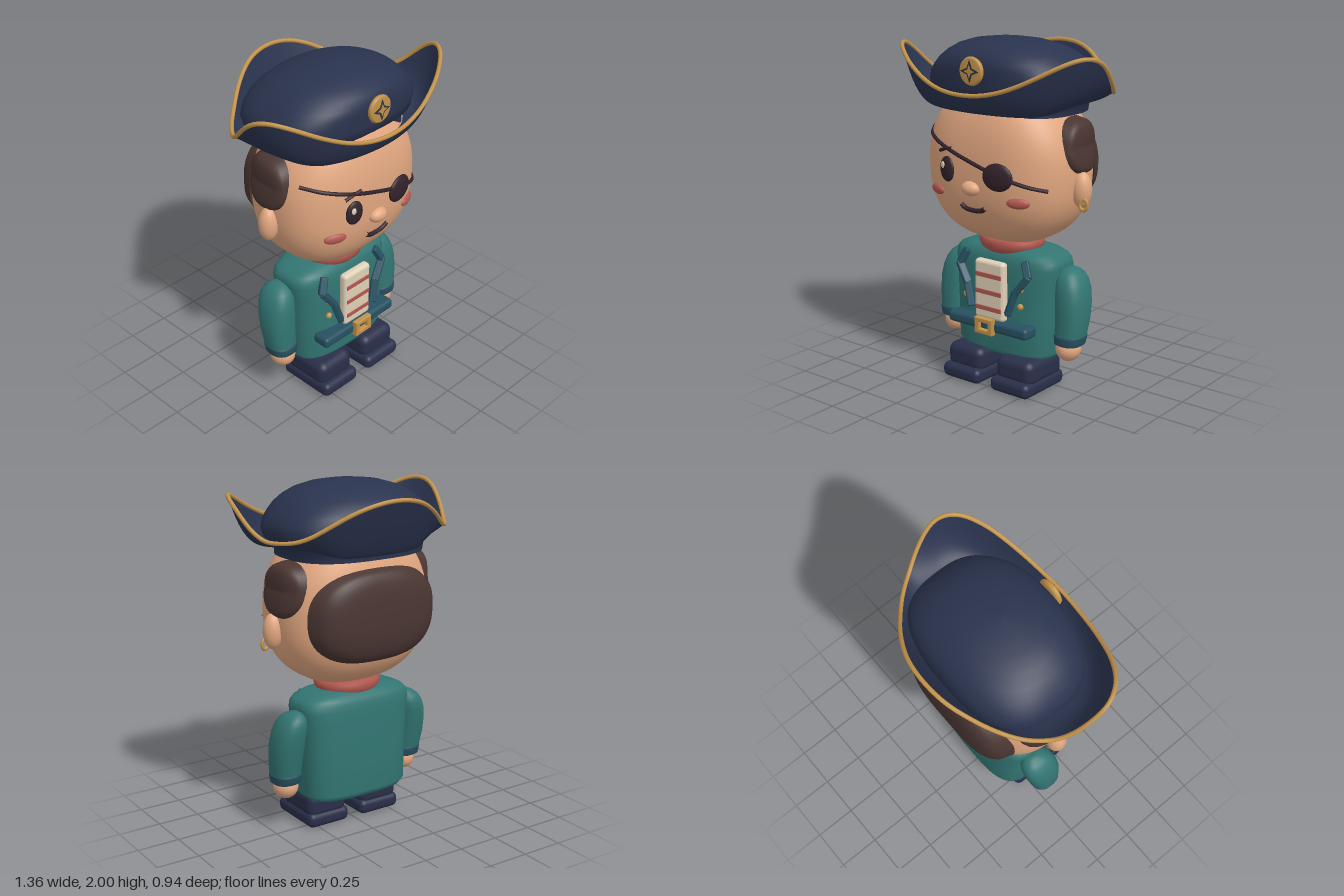
import * as THREE from 'three';
import { RoundedBoxGeometry } from 'three/addons/geometries/RoundedBoxGeometry.js';

const material = (name, color, side = THREE.FrontSide) => {
  const m = new THREE.MeshStandardMaterial({ color, side });
  m.name = name;
  return m;
};

// Smooth surface from a grid of points: u wraps around, v runs from 0 to 1
function wrapGrid(nu, nv, fn) {
  const pos = [], idx = [];
  for (let j = 0; j <= nv; j++)
    for (let i = 0; i < nu; i++) pos.push(...fn((i / nu) * Math.PI * 2, j / nv, j));
  for (let j = 0; j < nv; j++)
    for (let i = 0; i < nu; i++) {
      const a = j * nu + i, b = j * nu + ((i + 1) % nu), c = a + nu, d = b + nu;
      idx.push(a, c, b, b, c, d);
    }
  const g = new THREE.BufferGeometry();
  g.setAttribute('position', new THREE.Float32BufferAttribute(pos, 3));
  g.setIndex(idx);
  g.computeVertexNormals();
  return g;
}

const spow = (v, n) => Math.sign(v) * Math.abs(v) ** (2 / n);

// Stack of rounded sections, rings listed upwards as [y, rx, rz, cx, cz, squareness]
function loft(rings, n, seg = 56) {
  return wrapGrid(seg, rings.length - 1, (a, t, j) => {
    const [y, rx, rz, cx = 0, cz = 0, m = n] = rings[j];
    return [cx + rx * spow(Math.cos(a), m), y, cz + rz * spow(Math.sin(a), m)];
  });
}

// Head form: rounded block with these half sizes, narrowing towards the top
const HN = 2.6, HX = 0.475, HZ = 0.345, HCZ = 0.035, HY = 1.3;
const bulge = (t, n) => Math.max(0, 1 - Math.abs(t) ** n) ** (1 / n);
const headScale = y => bulge((y - HY) / (y < HY ? 0.45 : 0.5), 2.5);
const headHalfX = y => HX * headScale(y) * (1 - 1.05 * Math.max(0, y - HY) ** 2);
const headHalfZ = y => HZ * headScale(y);
const headDepth = (x, y) => headHalfZ(y) * bulge(x / headHalfX(y), HN);
const headWidth = (z, y) => headHalfX(y) * bulge((z - HCZ) / headHalfZ(y), HN);
const faceZ = (x, y) => HCZ + headDepth(x, y);

export function createModel() {
  const root = new THREE.Group();
  root.name = 'pirateFigure';
  const skin = material('skin', 0xe2a780);
  const navy = material('navy', 0x2a334e, THREE.DoubleSide);
  const bootNavy = material('bootNavy', 0x2a2f4a);
  const teal = material('teal', 0x327572);
  const darkTeal = material('darkTeal', 0x275061);
  const gold = material('gold', 0xc2924a);
  const red = material('red', 0xb2584f);
  const cream = material('cream', 0xe0d1b8);
  const hair = material('hair', 0x4a3632, THREE.DoubleSide);
  const dark = material('dark', 0x32222b);

  const add = (name, geo, mat, x = 0, y = 0, z = 0) => {
    const m = new THREE.Mesh(geo, mat);
    m.name = name;
    m.position.set(x, y, z);
    root.add(m);
    return m;
  };
  const ball = (name, mat, x, y, z, sx, sy, sz) => {
    const m = add(name, new THREE.SphereGeometry(1, 32, 20), mat, x, y, z);
    m.scale.set(sx, sy, sz);
    return m;
  };
  const box = (name, mat, w, h, d, r, x, y, z) =>
    add(name, new RoundedBoxGeometry(w, h, d, 4, r), mat, x, y, z);
  const tube = (name, mat, pts, r, closed = false, seg = 40) =>
    add(name, new THREE.TubeGeometry(new THREE.CatmullRomCurve3(pts, closed), seg, r, 8, closed), mat);
  const v = (x, y, z) => new THREE.Vector3(x, y, z);

  // Head
  add('head', wrapGrid(64, 40, (a, t) => {
    const f = -Math.cos(t * Math.PI), y = HY + (f < 0 ? 0.45 : 0.5) * f;
    return [headHalfX(y) * spow(Math.cos(a), HN), y, HCZ + headHalfZ(y) * spow(Math.sin(a), HN)];
  }), skin);

  // Hair patches that follow the head, thicker towards the sides and top
  const lift = (t, h) => h * Math.sqrt(1 - (1 - t) ** 7) - 0.004;
  add('backHair', wrapGrid(56, 18, (a, t) => {
    const x = 0.385 * (1 - t) * spow(Math.cos(a), 2.5), y = 1.285 + 0.268 * (1 - t) * spow(Math.sin(a), 2.5);
    return [x * 1.06, y, HCZ - headDepth(x, y) - lift(t, 0.06 + 0.035 * (x / 0.385) ** 2)];
  }), hair);
  for (const s of [-1, 1])
    add('sideHair', wrapGrid(40, 14, (a, t) => {
      const z = -0.018 + 0.163 * (1 - t) * spow(Math.cos(a), 2.3), y = 1.435 + 0.155 * (1 - t) * spow(Math.sin(a), 2.3);
      return [s * (headWidth(z, y) + lift(t, 0.032 + 0.38 * Math.max(0, y - 1.435))), y, z];
    }), hair);

  // Face details, turned to match the head's curve
  const onFace = (name, mat, x, y, sx, sy, sz, out = 0) => {
    const m = ball(name, mat, x, y, faceZ(x, y) + out, sx, sy, sz);
    m.rotation.y = Math.atan((faceZ(x - 0.02, y) - faceZ(x + 0.02, y)) / 0.04);
    return m;
  };
  onFace('eye', dark, -0.18, 1.285, 0.055, 0.072, 0.022);
  onFace('eyeHighlight', cream, -0.198, 1.308, 0.015, 0.02, 0.006, 0.02);
  onFace('eyePatch', dark, 0.175, 1.285, 0.092, 0.077, 0.026);
  onFace('nose', skin, -0.005, 1.2, 0.06, 0.042, 0.045);
  for (const s of [-1, 1]) {
    onFace('cheek', red, s * 0.285, 1.15, 0.066, 0.03, 0.02);
    ball('ear', skin, s * 0.485, 1.2, 0.025, 0.057, 0.102, 0.056);
  }
  const faceLine = (name, pts, r, out) =>
    tube(name, dark, pts.map(([x, y]) => v(x, y, faceZ(x, y) + out)), r);
  faceLine('eyePatchStrap', Array.from({ length: 13 }, (_, i) => [-0.42 + 0.07 * i, 1.475 - 0.0212 * i]), 0.011, 0.004);
  faceLine('eyebrow', [[-0.24, 1.38], [-0.19, 1.398], [-0.135, 1.408]], 0.01, 0.004);
  faceLine('mouth', [[-0.082, 1.1], [-0.055, 1.08], [0, 1.073], [0.055, 1.08], [0.086, 1.1]], 0.014, 0.005);
  const earring = add('earring', new THREE.TorusGeometry(0.023, 0.009, 10, 28), gold, 0.518, 1.125, 0.055);
  earring.rotation.y = 0.2;
  earring.scale.y = 1.3;

  // Hat crown, squarish at the rim and rounder towards the top
  add('hatCrown', loft([[1.6, 0.415, 0.313], [1.665, 0.425, 0.3, 0, -0.012], [1.7, 0.478, 0.344, 0, -0.003],
    [1.75, 0.497, 0.347, 0, -0.004], [1.8, 0.48, 0.347], [1.84, 0.452, 0.343, 0, 0.005, 2.6],
    [1.88, 0.415, 0.332, 0, 0.015, 2.45], [1.92, 0.368, 0.3, 0, 0.025, 2.25], [1.955, 0.305, 0.245, 0, 0.035, 2.1],
    [1.98, 0.22, 0.175, 0, 0.04, 2], [1.994, 0.11, 0.09, 0, 0.045, 2], [2, 0, 0, 0, 0.045]], 2.7), navy);

  // Three-cornered brim: plan outline plus a wave in height
  const half = [[0.21, 0.435], [0.36, 0.398], [0.49, 0.345], [0.6, 0.265], [0.655, 0.18], [0.667, 0.11],
    [0.645, 0], [0.595, -0.1], [0.515, -0.205], [0.415, -0.295], [0.3, -0.375], [0.155, -0.44]];
  const outline = new THREE.CatmullRomCurve3([v(0, 0, 0.455), ...half.map(([x, z]) => v(x, 0, z)),
    v(0, 0, -0.46), ...half.slice().reverse().map(([x, z]) => v(-x, 0, z))], true);
  const edge = u => {
    const p = outline.getPoint(u % 1);
    const wave = 0.5 - 0.5 * Math.cos(3 * Math.atan2(p.x / 1.9, p.z - 0.02));
    p.y = 1.722 + 0.215 * wave ** (1.1 + 0.5 * THREE.MathUtils.smoothstep(-p.z, 0.05, 0.25));
    return p;
  };
  // The bowl is deep at the front and corners and straighter at the back
  add('hatBrim', wrapGrid(128, 18, (a, t) => {
    const p = edge(a / (Math.PI * 2));
    const s = (Math.abs(p.x / 0.425) ** 2.6 + Math.abs(p.z / 0.325) ** 2.6) ** (-1 / 2.6);
    const k = s + (1 - s) * t;
    const front = THREE.MathUtils.smoothstep(p.z, -0.35, 0.2);
    const base = 1.665 - 0.055 * THREE.MathUtils.smoothstep(p.z * s, 0.08, 0.28)
      - 0.04 * THREE.MathUtils.smoothstep(-p.z * s, 0.2, 0.32);
    return [p.x * k, base + (p.y - base) * t ** (1.25 + 2 * front), p.z * k];
  }), navy);
  tube('hatTrim', gold, Array.from({ length: 80 }, (_, i) => edge(i / 80)), 0.012, true, 160);

  // Hat badge with a four-pointed star
  const badge = add('hatBadge', new THREE.LatheGeometry([[0, -0.02], [0.06, -0.02], [0.074, -0.012], [0.079, 0],
    [0.075, 0.01], [0.066, 0.015], [0, 0.016]].map(p => new THREE.Vector2(...p)), 40), gold, 0, 1.84, 0.368);
  badge.rotation.x = Math.PI / 2;
  const star = r => new THREE.ShapeGeometry(new THREE.Shape(Array.from({ length: 8 }, (_, i) => {
    const a = (i * Math.PI) / 4, d = i % 2 ? r * 0.4 : r;
    return new THREE.Vector2(Math.cos(a) * d, Math.sin(a) * d);
  })));
  add('badgeStar', star(0.064), navy, 0, 1.84, 0.387);
  add('badgeStarCentre', star(0.038), gold, 0, 1.84, 0.39);

  // Coat body and neckerchief
  add('coat', loft([[0.175, 0, 0], [0.177, 0.24, 0.14], [0.188, 0.31, 0.18], [0.22, 0.335, 0.196], [0.45, 0.34, 0.197],
    [0.65, 0.353, 0.19], [0.72, 0.364, 0.185], [0.757, 0.36, 0.178], [0.782, 0.338, 0.168],
    [0.803, 0.288, 0.15], [0.817, 0.22, 0.12], [0.823, 0.15, 0.08], [0.823, 0, 0]], 3.2), teal);
  add('neckerchief', loft([[0.78, 0.13, 0.11, 0, 0.02], [0.785, 0.165, 0.145, 0, 0.02], [0.805, 0.19, 0.163, 0, 0.02],
    [0.83, 0.199, 0.17, 0, 0.02], [0.855, 0.199, 0.17, 0, 0.02], [0.868, 0.185, 0.158, 0, 0.02],
    [0.87, 0.13, 0.11, 0, 0.02]], 2, 48), red);

  // Shirt front with stripes
  box('shirt', cream, 0.21, 0.35, 0.056, 0.022, 0, 0.577, 0.212);
  for (const y of [0.667, 0.567, 0.47]) box('shirtStripe', red, 0.182, 0.027, 0.009, 0.003, 0, y, 0.2395);

  // Belt and buckle
  box('belt', darkTeal, 0.57, 0.066, 0.11, 0.022, 0, 0.375, 0.21);
  const frame = new THREE.Shape([[-0.058, -0.042], [0.058, -0.042], [0.058, 0.042], [-0.058, 0.042]].map(p => new THREE.Vector2(...p)));
  frame.holes.push(new THREE.Path([[-0.038, -0.026], [-0.038, 0.026], [0.038, 0.026], [0.038, -0.026]].map(p => new THREE.Vector2(...p))));
  add('buckle', new THREE.ExtrudeGeometry(frame, { depth: 0.026, bevelSize: 0.005, bevelThickness: 0.005, bevelSegments: 3 }), gold, 0, 0.377, 0.261);

  // Flat bar between two points
  const bar = (name, mat, a, b, w, d) => {
    const dir = b.clone().sub(a);
    const m = box(name, mat, w, dir.length() + w * 0.5, d, 0.009, ...a.clone().add(b).multiplyScalar(0.5).toArray());
    m.quaternion.setFromUnitVectors(v(0, 1, 0), dir.normalize());
  };

  // Parts mirrored left and right
  for (const s of [-1, 1]) {
    const lapel = [[0.21, 0.765, 0.17], [0.247, 0.69, 0.193], [0.172, 0.59, 0.215], [0.133, 0.465, 0.232]]
      .map(([x, y, z]) => v(s * x, y, z));
    for (let i = 0; i < 3; i++) bar('lapel', darkTeal, lapel[i], lapel[i + 1], 0.036, 0.046);
    for (const y of [0.51, 0.61]) ball('button', gold, s * 0.197, y, 0.197, 0.019, 0.019, 0.016);
    add('sleeve', loft([[0.32, 0.08, 0.085, s * 0.42, 0.025], [0.36, 0.085, 0.09, s * 0.423, 0.022],
      [0.45, 0.091, 0.1, s * 0.426, 0.01], [0.54, 0.093, 0.108, s * 0.422, 0], [0.61, 0.088, 0.109, s * 0.414, -0.01],
      [0.66, 0.08, 0.102, s * 0.403, -0.017], [0.695, 0.066, 0.085, s * 0.393, -0.022],
      [0.715, 0.048, 0.062, s * 0.385, -0.026], [0.727, 0.025, 0.035, s * 0.38, -0.03],
      [0.73, 0, 0, s * 0.38, -0.03]], 2.4, 40), teal);
    add('cuff', loft([[0.297, 0, 0, s * 0.42, 0.027], [0.297, 0.076, 0.08, s * 0.42, 0.027], [0.303, 0.083, 0.088, s * 0.42, 0.027],
      [0.345, 0.088, 0.093, s * 0.422, 0.024], [0.355, 0.086, 0.091, s * 0.423, 0.022],
      [0.358, 0.07, 0.075, s * 0.423, 0.022]], 2.4, 40), darkTeal);
    ball('hand', skin, s * 0.415, 0.268, 0.033, 0.072, 0.072, 0.076);
    box('boot', bootNavy, 0.257, 0.15, 0.32, 0.05, s * 0.18, 0.13, 0.095);
    box('bootSole', bootNavy, 0.272, 0.088, 0.37, 0.035, s * 0.178, 0.044, 0.11);
  }
  return root;
}
